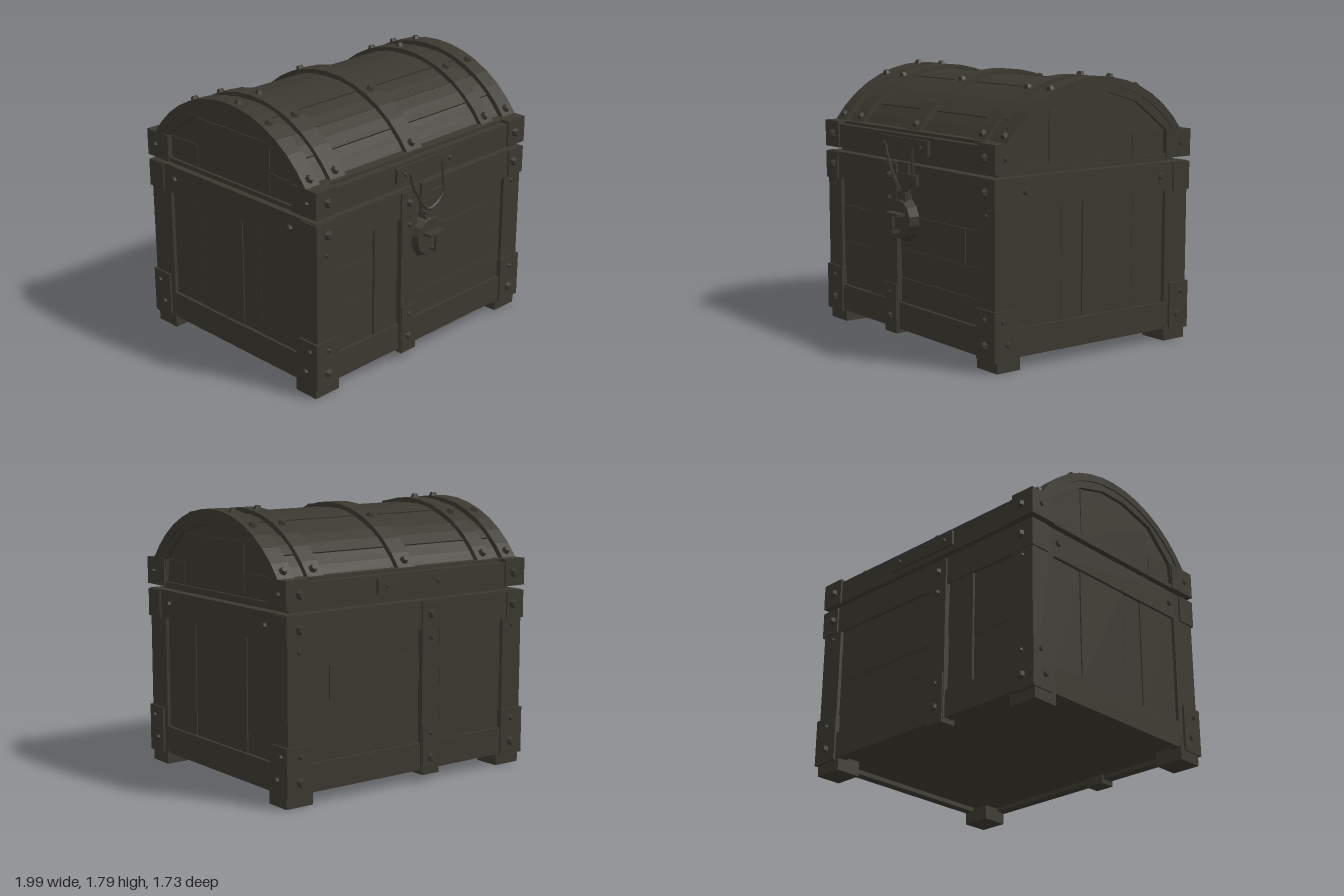
import * as THREE from 'three';

export function createModel() {
  const chest = new THREE.Group();
  chest.name = 'treasureChest';
  const mat = new THREE.MeshStandardMaterial({ color: 0x3a382f, flatShading: true });
  mat.name = 'darkWood';

  const add = (name, geo) => {
    const m = new THREE.Mesh(geo, mat);
    m.name = name;
    chest.add(m);
    return m;
  };
  // Box given by its two extremes on every axis
  const box = (name, xa, xb, y0, y1, za, zb) => {
    const g = new THREE.BoxGeometry(Math.abs(xb - xa), y1 - y0, Math.abs(zb - za));
    g.translate((xa + xb) / 2, (y0 + y1) / 2, (za + zb) / 2);
    return add(name, g);
  };
  // Six-sided domed bolt pointing along a normal
  const up = new THREE.Vector3(0, 1, 0);
  const bolt = (x, y, z, nx, ny, nz, r = 0.035) => {
    const g = new THREE.CylinderGeometry(r * 0.55, r, r * 0.9, 6);
    const m = add('bolt', g);
    m.quaternion.setFromUnitVectors(up, new THREE.Vector3(nx, ny, nz).normalize());
    m.position.set(x, y, z);
  };
  // Profile in (z, y), extruded from x0 to x1
  const extrudeX = (name, shape, x0, x1) => {
    const g = new THREE.ExtrudeGeometry(shape, { depth: x1 - x0, bevelEnabled: false });
    g.rotateY(-Math.PI / 2).translate(x1, 0, 0);
    return add(name, g);
  };
  const CY = 0.9; // centre height of the lid arch
  const arcPoints = (r, a0, a1, n) => Array.from({ length: n + 1 }, (_, i) => {
    const a = a0 + (a1 - a0) * i / n;
    return new THREE.Vector2(r * Math.cos(a), CY + r * Math.sin(a));
  });
  const arcBand = (name, r0, r1, x0, x1, a0, a1, n) =>
    extrudeX(name, new THREE.Shape([...arcPoints(r1, a0, a1, n), ...arcPoints(r0, a0, a1, n).reverse()]), x0, x1);
  const archShape = (r, halfZ) => {
    const a = Math.asin((1.4 - CY) / r);
    const v = (z, y) => new THREE.Vector2(z, y);
    return new THREE.Shape([v(-halfZ, 1.22), v(halfZ, 1.22), v(halfZ, 1.4), ...arcPoints(r, a, Math.PI - a, 14), v(-halfZ, 1.4)]);
  };

  // Body core and the narrow seam under the lid
  box('bodyCore', -0.935, 0.935, 0.11, 1.17, -0.76, 0.76);
  box('lidSeam', -0.9, 0.9, 1.16, 1.23, -0.72, 0.72);

  for (const s of [1, -1]) {
    // Front and back frames
    box('topRail', -0.965, 0.965, 1.0, 1.19, s * 0.72, s * 0.79);
    box('bottomRail', -0.965, 0.965, 0.08, 0.26, s * 0.72, s * 0.79);
    for (const e of [1, -1]) box('cornerPost', e * 0.8, e * 0.965, 0.26, 1.0, s * 0.72, s * 0.79);
    // Panel boards
    const boards = [
      [-0.8, -0.455, 0.26, 0.57, 0.765], [-0.8, -0.455, 0.575, 0.82, 0.768], [-0.8, -0.455, 0.825, 1.0, 0.764],
      [-0.45, -0.255, 0.26, 1.0, 0.777], [-0.25, 0.8, 0.26, 0.425, 0.768],
      [-0.25, 0.8, 0.435, 0.62, 0.765], [-0.25, 0.63, 0.625, 0.85, 0.77], [0.635, 0.8, 0.625, 0.85, 0.766],
      [-0.25, 0.8, 0.855, 1.0, 0.765]
    ];
    for (const [a, b, c, d, z] of boards) box('panelBoard', a, b, c, d, s * 0.74, s * z);
    // Vertical strap with a foot plate
    box('bodyStrap', -0.23, -0.085, 0.07, 1.18, s * 0.75, s * 0.803);
    box('strapFoot', -0.225, -0.09, 0.05, 0.38, s * 0.7, s * 0.812);
    for (const [y, r] of [[1.1, 0.03], [0.95, 0.02], [0.32, 0.02], [0.16, 0.033]]) bolt(-0.16, y, s * 0.815, 0, 0, s, r);
    // Lid rim and latch plate
    box('lidRim', -0.965, 0.965, 1.22, 1.38, s * 0.66, s * 0.79);
    box('latchPlate', -0.285, 0.285, 1.26, 1.36, s * 0.78, s * 0.808);
    for (const x of [-0.21, 0.21]) bolt(x, 1.31, s * 0.81, 0, 0, s, 0.022);

    for (const e of [1, -1]) {
      // Feet and corner brackets
      box('foot', e * 0.77, e * 0.97, 0, 0.1, s * 0.6, s * 0.78);
      box('lidCorner', e * 0.81, e * 0.98, 1.22, 1.4, s * 0.59, s * 0.802);
      box('upperBracket', e * 0.83, e * 0.977, 1.0, 1.185, s * 0.66, s * 0.801);
      box('lowerBracket', e * 0.79, e * 0.98, 0.07, 0.385, s * 0.64, s * 0.803);
      for (const [y, r] of [[1.31, 0.037], [1.1, 0.037], [0.16, 0.037], [0.96, 0.018], [0.32, 0.02]])
        bolt(e * 0.88, y, s * (y === 0.96 ? 0.795 : 0.81), 0, 0, s, r);
      // Bolts on the ends
      bolt(e * 0.968, 1.1, s * 0.555, e, 0, 0, 0.03);
      bolt(e * 0.985, 0.17, s * 0.7, e, 0, 0, 0.025);
      bolt(e * 0.985, 0.32, s * 0.74, e, 0, 0, 0.02);
      bolt(e * 0.985, 1.31, s * 0.72, e, 0, 0, 0.02);
      // End posts
      box('endPost', e * 0.9, e * 0.965, 0.08, 1.19, s * 0.6, s * 0.785);
    }
  }

  for (const e of [1, -1]) {
    // End frames and boards
    box('endTopRail', e * 0.9, e * 0.965, 1.0, 1.19, -0.6, 0.6);
    box('endBottomRail', e * 0.9, e * 0.965, 0.08, 0.26, -0.6, 0.6);
    const cuts = [-0.6, -0.33, 0.09, 0.26, 0.6];
    for (let i = 0; i < 4; i++)
      box('endBoard', e * 0.92, e * (0.942 + 0.004 * (i % 2)), 0.26, 1.0, cuts[i] + 0.003, cuts[i + 1] - 0.003);
    // Arched gable frame around a recessed panel
    const frame = archShape(0.85, 0.785);
    frame.holes.push(new THREE.Path([[0.59, 1.25], [0.58, 1.4], [0.37, 1.6], [0.1, 1.67], [-0.1, 1.67], [-0.33, 1.6], [-0.6, 1.4], [-0.6, 1.25]]
      .map(p => new THREE.Vector2(...p))));
    extrudeX('gableFrame', frame, e > 0 ? 0.93 : -0.97, e > 0 ? 0.97 : -0.93);
    for (const [a, b, top] of [[-0.58, -0.32, 1.4], [-0.315, 0.365, 1.59], [0.37, 0.57, 1.4]])
      box('gableBoard', e * 0.93, e * 0.952, 1.25, top, a, b);
  }

  // Barrel lid: solid core with separate planks over it
  extrudeX('lidCore', archShape(0.822, 0.74), -0.945, 0.945);
  const a0 = Math.asin(0.5 / 0.84) - 0.02, a1 = Math.PI - a0, planks = 9;
  for (let i = 0; i < planks; i++) {
    const step = (a1 - a0) / planks;
    arcBand('lidPlank', 0.8, 0.838 + 0.004 * (i % 2), -0.95, 0.95, a0 + i * step + 0.003, a0 + (i + 1) * step - 0.003, 2);
  }

  // Curved lid straps with bolts
  const straps = [[-0.98, -0.86, 0.872], [-0.77, -0.64, 0.87], [-0.095, 0.045, 0.872], [0.635, 0.755, 0.87], [0.855, 0.98, 0.872]];
  const s0 = Math.asin(0.5 / 0.87) - 0.01;
  straps.forEach(([xa, xb, r], i) => {
    arcBand('lidStrap', 0.82, r, xa, xb, s0, Math.PI - s0, 14);
    const angles = i === 2 ? [0.67, 1.2, 1.97, 2.47] : [0.67, 1.18, 1.5 + 0.06 * i, 2.0, 2.47];
    for (const a of angles) {
      const c = Math.cos(a), n = Math.sin(a);
      bolt((xa + xb) / 2, CY + (r + 0.008) * n, (r + 0.008) * c, 0, n, c, 0.032);
    }
  });

  // Shackle wire hanging from the latch plate
  const wire = new THREE.CatmullRomCurve3([[-0.18, 1.31], [-0.15, 1.21], [-0.08, 1.1], [-0.01, 1.02], [0.08, 1.04], [0.14, 1.11], [0.13, 1.22], [0.13, 1.31]]
    .map(([x, y]) => new THREE.Vector3(x, y, 0.822)));
  add('shackleWire', new THREE.TubeGeometry(wire, 24, 0.01, 5));
  box('hasp', -0.06, 0.16, 1.06, 1.13, 0.78, 0.815);
  box('haspTongue', -0.05, 0.06, 0.96, 1.2, 0.78, 0.808);

  // Round padlock with a T-shaped key
  const disc = new THREE.CylinderGeometry(0.125, 0.15, 0.06, 14).rotateX(Math.PI / 2);
  add('padlock', disc.translate(0.005, 0.83, 0.815));
  box('padlockNeck', -0.04, 0.055, 0.95, 1.01, 0.79, 0.83);
  box('keyBar', -0.07, 0.075, 0.858, 0.878, 0.83, 0.905);
  box('keyStem', -0.012, 0.018, 0.745, 0.87, 0.888, 0.905);
  box('keyReturn', -0.012, 0.018, 0.745, 0.762, 0.83, 0.9);

  chest.position.z = -0.04;
  const model = new THREE.Group();
  model.name = 'chestModel';
  model.add(chest);
  return model;
}
